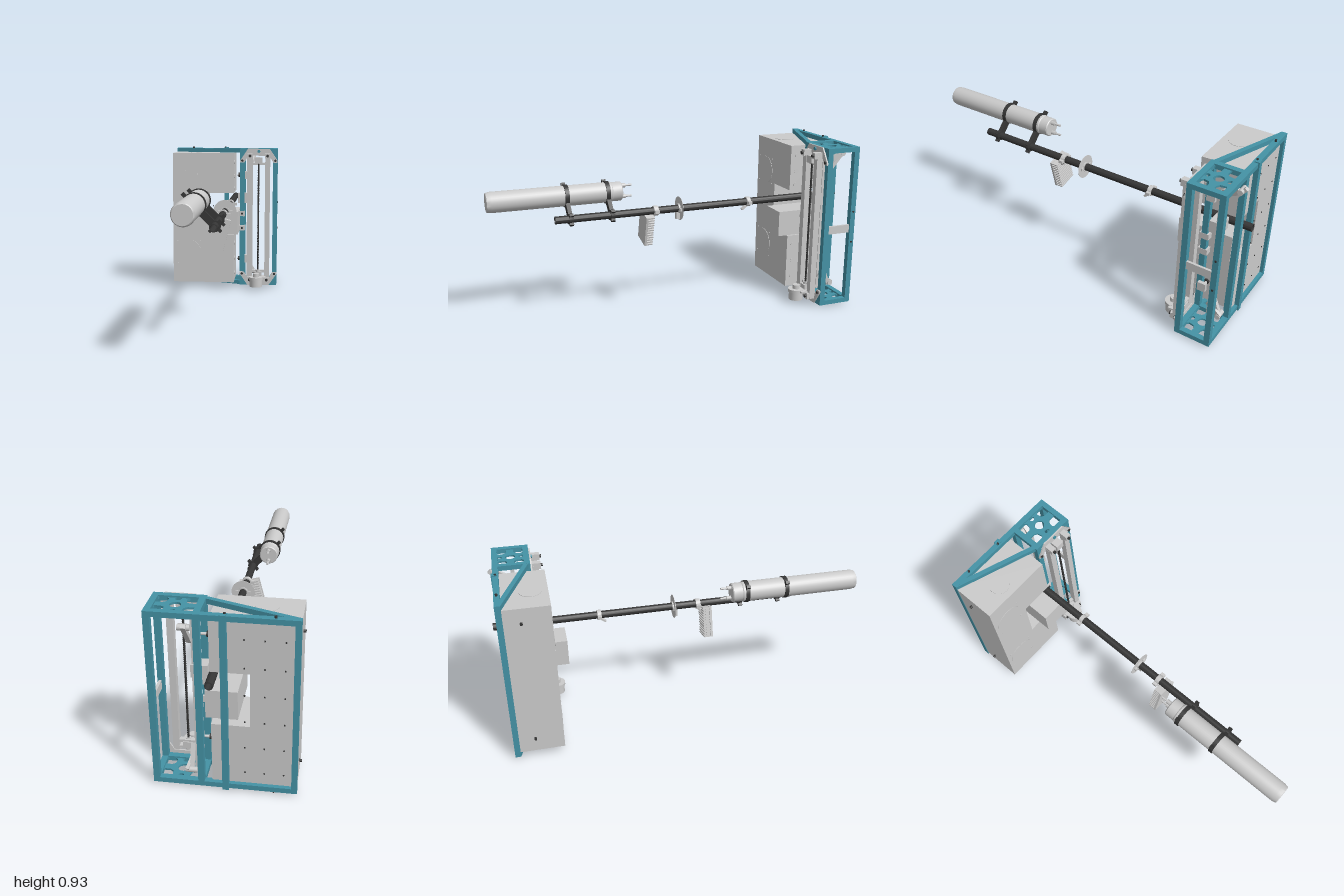
import * as THREE from 'three';
import { toCreasedNormals } from 'three/addons/utils/BufferGeometryUtils.js';

export function createModel() {
  const root = new THREE.Group();
  const grey = new THREE.MeshStandardMaterial({ color: 0xcccccc });
  const teal = new THREE.MeshStandardMaterial({ color: 0x4593a6 });
  const black = new THREE.MeshStandardMaterial({ color: 0x363636 });
  const V = (x, y, z) => new THREE.Vector3(x, y, z);

  const add = (name, geo, mat = grey, parent = root) => {
    const m = new THREE.Mesh(geo, mat);
    m.name = name;
    parent.add(m);
    return m;
  };
  // Box given by its limits on each axis
  const box = (name, [x0, x1], [y0, y1], [z0, z1], mat = grey, parent = root) => add(name,
    new THREE.BoxGeometry(x1 - x0, y1 - y0, z1 - z0)
      .translate((x0 + x1) / 2, (y0 + y1) / 2, (z0 + z1) / 2), mat, parent);
  // Round rod between two points
  const rod = (name, a, b, r, mat = grey, sides = 16) => {
    const d = b.clone().sub(a);
    const m = add(name, new THREE.CylinderGeometry(r, r, d.length(), sides), mat);
    m.position.copy(a).add(b).multiplyScalar(0.5);
    m.quaternion.setFromUnitVectors(V(0, 1, 0), d.normalize());
    return m;
  };
  // Rectangular bar between two points
  const bar = (name, a, b, w, h, mat = grey) => {
    const m = add(name, new THREE.BoxGeometry(w, h, a.distanceTo(b)), mat);
    m.position.copy(a).add(b).multiplyScalar(0.5);
    m.lookAt(b);
    return m;
  };
  const poly = (pts) => new THREE.Shape(pts.map(([x, y]) => new THREE.Vector2(x, y)));
  const disc = (x, y, r) => new THREE.Shape().absarc(x, y, r, 0, Math.PI * 2);
  const extrude = (shape, holes, depth) => {
    shape.holes.push(...holes);
    return toCreasedNormals(new THREE.ExtrudeGeometry(shape,
      { depth, bevelEnabled: false, curveSegments: 18 }), 0.6);
  };
  // Ring around an axis parallel to z
  const ring = (name, x, y, r, inner, z0, z1, mat) =>
    add(name, extrude(disc(x, y, r), [disc(x, y, inner)], z1 - z0).translate(0, 0, z0), mat);

  // Welded frame: uprights
  const zBack = [-0.965, -0.935], zFront = [-0.8, -0.77], full = [0.012, 0.915];
  for (const z of [zBack, zFront])
    for (const x of [[0.1, 0.13], [0.315, 0.345]]) box('towerPost', x, full, z, teal);
  box('outerPost', [-0.335, -0.308], full, zBack, teal);
  box('backPost', [-0.016, 0.014], [0.005, 0.92], [-0.972, -0.945], teal);
  box('sideCrossBar', [0.325, 0.338], [0.43, 0.475], [-0.94, -0.79]);

  // Top and bottom of the frame: beam, diagonal brace and pierced plate
  for (const y0 of [0.012, 0.889]) {
    const y1 = y0 + 0.026, mid = y0 + 0.013;
    box('backBeam', [-0.335, 0.345], [y0, y1], zBack, teal);
    box('towerFrontBeam', [0.1, 0.345], [y0, y1], zFront, teal);
    for (const x of [[0.1, 0.13], [0.315, 0.345]]) box('towerSideBeam', x, [y0, y1], [-0.95, -0.785], teal);
    bar('diagonalBrace', V(-0.325, mid, -0.945), V(0.11, mid, -0.79), 0.024, 0.025, teal);
    const holes = [disc(0.2225, 0.868, 0.026)];
    for (const sx of [-1, 1]) {
      for (const sz of [-1, 1]) holes.push(poly([[0.045, 0.028], [0.06, 0.018], [0.09, 0.018],
        [0.098, 0.03], [0.098, 0.055], [0.088, 0.068], [0.052, 0.068], [0.04, 0.055]]
        .map(([x, z]) => [0.2225 + sx * x, 0.868 + sz * z])));
    }
    for (const s of [-1, 1]) holes.push(disc(0.2225, 0.868 + s * 0.058, 0.014));
    add('piercedPlate', extrude(poly([[0.1, 0.77], [0.345, 0.77], [0.345, 0.965], [0.1, 0.965]]), holes, 0.01)
      .rotateX(-Math.PI / 2).translate(0, y0 + 0.008, 0), teal);
  }

  // Frame bolts
  for (const x of [-0.225, -0.008]) for (const [a, b] of [[0, 0.015], [0.912, 0.925]])
    rod('frameBolt', V(x, a, -0.95), V(x, b, -0.95), 0.006, black, 8);
  for (const y of [0.12, 0.81]) rod('frameBolt', V(-0.347, y, -0.85), V(-0.33, y, -0.85), 0.007, black, 8);
  for (const y of [0.375, 0.55]) rod('frameBolt', V(0.34, y, -0.95), V(0.348, y, -0.95), 0.006, black, 8);

  // Cabinet with a notch in its inner side
  add('cabinet', extrude(poly([[-0.333, 0.04], [0.065, 0.04], [0.065, 0.355], [-0.115, 0.355],
    [-0.115, 0.63], [0.065, 0.63], [0.065, 0.889], [-0.333, 0.889]]), [], 0.245).translate(0, 0, -0.947));
  for (const y of [0.237, 0.695]) {
    rod('fanCover', V(-0.23, y, -0.703), V(-0.23, y, -0.7), 0.082, grey, 40);
    for (const sx of [-1, 1]) for (const sy of [-1, 1])
      rod('fanScrew', V(-0.23 + sx * 0.075, y + sy * 0.075, -0.703), V(-0.23 + sx * 0.075, y + sy * 0.075, -0.699), 0.004, grey, 8);
  }
  for (const y of [0.038, 0.889]) rod('endVent', V(-0.17, y, -0.79), V(-0.17, y + 0.002, -0.79), 0.055, grey, 32);
  for (const y of [0.1, 0.2, 0.3, 0.66, 0.74, 0.83])
    rod('sideGrommet', V(0.064, y, -0.74), V(0.068, y, -0.74), 0.013, grey, 16);
  for (let i = 0; i < 6; i++) for (let j = 0; j < 3; j++)
    rod('backScrew', V(-0.27 + j * 0.09, 0.1 + i * 0.14, -0.95), V(-0.27 + j * 0.09, 0.1 + i * 0.14, -0.945), 0.004, black, 6);

  // Drive housing sitting in the notch
  box('driveHousing', [-0.055, 0.095], [0.37, 0.515], [-0.92, -0.625]);
  for (const y of [0.395, 0.49]) {
    box('postClip', [0.095, 0.132], [y - 0.017, y + 0.017], [-0.81, -0.76]);
    rod('clipScrew', V(0.115, y, -0.762), V(0.115, y, -0.755), 0.007, black, 8);
  }

  // Lift unit on the front of the tower
  for (const x of [[0.15, 0.185], [0.265, 0.297]]) box('guideRail', x, [0.04, 0.87], [-0.765, -0.73]);
  for (const s of [1, -1]) {
    const Y = (y) => 0.4635 + s * (y - 0.4635);
    const pts = [[0.1, 0.825], [0.1, 0.838], [0.152, 0.915], [0.293, 0.915], [0.345, 0.838], [0.345, 0.825],
      [0.317, 0.825], [0.29, 0.87], [0.155, 0.87], [0.128, 0.825]].map(([x, y]) => [x, Y(y)]);
    add('cornerPlate', extrude(poly(pts), [], 0.008).translate(0, 0, -0.77));
    const span = (a, b) => [Math.min(Y(a), Y(b)), Math.max(Y(a), Y(b))];
    box('railCrossPlate', [0.15, 0.297], span(0.81, 0.825), [-0.765, -0.745]);
    box('screwBearing', [0.2, 0.246], span(0.82, 0.86), [-0.77, -0.725]);
    for (const x of [0.167, 0.28]) {
      box('railBlock', [x - 0.016, x + 0.016], span(0.853, 0.887), [-0.765, -0.715]);
      rod('blockBolt', V(x, Y(0.87), -0.716), V(x, Y(0.87), -0.705), 0.009, black, 8);
    }
    for (const x of [0.115, 0.33]) rod('plateBolt', V(x, Y(0.838), -0.763), V(x, Y(0.838), -0.756), 0.008, black, 8);
  }
  rod('topBolt', V(0.2225, 0.898, -0.765), V(0.2225, 0.898, -0.755), 0.01, teal, 8);

  // Threaded lead screw
  const thread = [];
  for (let i = 0; i <= 140; i++) thread.push(new THREE.Vector2(i % 2 ? 0.0065 : 0.0045, 0.09 + i * 0.0053));
  add('leadScrew', new THREE.LatheGeometry(thread, 10).translate(0.2225, 0, -0.745), black);
  rod('screwCoupler', V(0.2225, 0.085, -0.745), V(0.2225, 0.12, -0.745), 0.014);

  // Motor at the foot of the lift
  rod('motor', V(0.212, 0.018, -0.69), V(0.212, 0.065, -0.69), 0.04, grey, 28);
  rod('motorFlange', V(0.212, 0.065, -0.69), V(0.212, 0.082, -0.69), 0.046, grey, 28);
  rod('motorHub', V(0.212, 0.08, -0.69), V(0.212, 0.105, -0.69), 0.02, grey, 16);
  box('motorBracket', [0.165, 0.275], [0.07, 0.08], [-0.765, -0.69]);

  // Adjusting screws, inner rail and linkages
  for (const y of [0.185, 0.742]) {
    rod('adjustingScrew', V(0.082, y, -0.81), V(0.152, y, -0.81), 0.007);
    rod('adjustingKnob', V(0.088, y, -0.81), V(0.1, y, -0.81), 0.014, black, 12);
    box('screwBlock', [0.132, 0.152], [y - 0.025, y + 0.025], [-0.83, -0.785]);
  }
  box('innerRail', [0.142, 0.16], [0.04, 0.885], [-0.875, -0.855]);
  bar('upperLink', V(0.165, 0.865, -0.985), V(0.165, 0.74, -0.88), 0.022, 0.02);
  bar('upperLinkArm', V(0.185, 0.85, -0.96), V(0.165, 0.8, -0.87), 0.016, 0.03);
  rod('upperLinkPin', V(0.14, 0.85, -0.965), V(0.195, 0.85, -0.965), 0.014);
  bar('lowerLink', V(0.165, 0.06, -0.93), V(0.165, 0.19, -0.88), 0.022, 0.02);
  bar('lowerLinkArm', V(0.185, 0.075, -0.94), V(0.165, 0.125, -0.86), 0.016, 0.03);
  rod('lowerLinkPin', V(0.14, 0.075, -0.93), V(0.195, 0.075, -0.93), 0.014);
  box('tubeCarriage', [0.085, 0.165], [0.555, 0.62], [-0.885, -0.82]);

  // Long hollow tube with its clamps and disc
  const tx = 0.059, ty = 0.588;
  ring('mainTube', tx, ty, 0.02, 0.016, -1, 0.667, black);
  for (const [z, w] of [[-0.435, 0.022], [-0.02, 0.018], [0.118, 0.025]]) {
    ring('tubeClamp', tx, ty, 0.027, 0.019, z - w / 2, z + w / 2, grey);
    for (const s of [-1, 1]) box('clampEar', [tx + s * 0.033 - 0.009, tx + s * 0.033 + 0.009],
      [ty - 0.008, ty + 0.008], [z - w / 2, z + w / 2]);
  }
  ring('guideDisc', tx, ty, 0.065, 0.02, -0.022, -0.02, grey);
  box('discSensor', [tx - 0.012, tx + 0.012], [0.53, 0.57], [-0.02, 0.0]);
  bar('clampLever', V(tx, 0.57, -0.435), V(tx, 0.545, -0.4), 0.02, 0.01);

  // Finned sensor head hanging from the tube
  const head = new THREE.Group();
  head.name = 'sensorHead';
  head.position.set(0.031, 0.493, 0.16);
  head.rotation.z = -0.25;
  box('headPlate', [-0.057, 0.057], [-0.086, 0.086], [0.012, 0.024], grey, head);
  box('headCore', [-0.045, 0.045], [-0.08, 0.08], [-0.008, 0.012], grey, head);
  for (let i = 0; i < 12; i++) box('coolingFin', [-0.055, 0.055],
    [-0.086 + i * 0.0148, -0.079 + i * 0.0148], [-0.024, 0.013], grey, head);
  root.add(head);
  bar('headStrut', V(tx, 0.575, 0.115), V(tx - 0.01, 0.535, 0.15), 0.03, 0.012);

  // Gas cylinder parallel to the tube
  const cx = -0.043, cy = 0.688;
  const profile = [[0, 0.28], [0.048, 0.28], [0.052, 0.285], [0.052, 0.335], [0.055, 0.34],
    [0.055, 0.975], [0.051, 0.997], [0.047, 1], [0, 1]].map(([r, z]) => new THREE.Vector2(r, z));
  add('canister', toCreasedNormals(new THREE.LatheGeometry(profile, 32), 0.5)
    .rotateX(Math.PI / 2).translate(cx, cy, 0));
  for (const s of [-1, 1]) {
    rod('nozzle', V(cx, cy + s * 0.03, 0.22), V(cx, cy + s * 0.03, 0.285), 0.006);
    rod('nozzleNut', V(cx, cy + s * 0.03, 0.255), V(cx, cy + s * 0.03, 0.285), 0.012, grey, 6);
  }

  // Black holders joining canister and tube
  const dir = V(tx - cx, ty - cy, 0).normalize();
  const onLine = (d, z) => V(cx, cy, z).addScaledVector(dir, d);
  for (const z of [0.362, 0.585]) {
    ring('canisterRing', cx, cy, 0.06, 0.054, z - 0.011, z + 0.011, black);
    ring('tubeRing', tx, ty, 0.028, 0.019, z - 0.011, z + 0.011, black);
    bar('holderArm', onLine(0.056, z), onLine(0.122, z), 0.022, 0.036, black);
    bar('ringTab', onLine(-0.078, z), onLine(-0.056, z), 0.022, 0.016, black);
    bar('tubeTab', onLine(0.163, z), onLine(0.183, z), 0.022, 0.014, black);
    for (const s of [-1, 1]) {
      const side = V(-dir.y, dir.x, 0).multiplyScalar(s), c = V(tx, ty, z);
      bar('tubeLug', c.clone().addScaledVector(side, 0.026), c.clone().addScaledVector(side, 0.04), 0.022, 0.014, black);
    }
  }
  return root;
}
